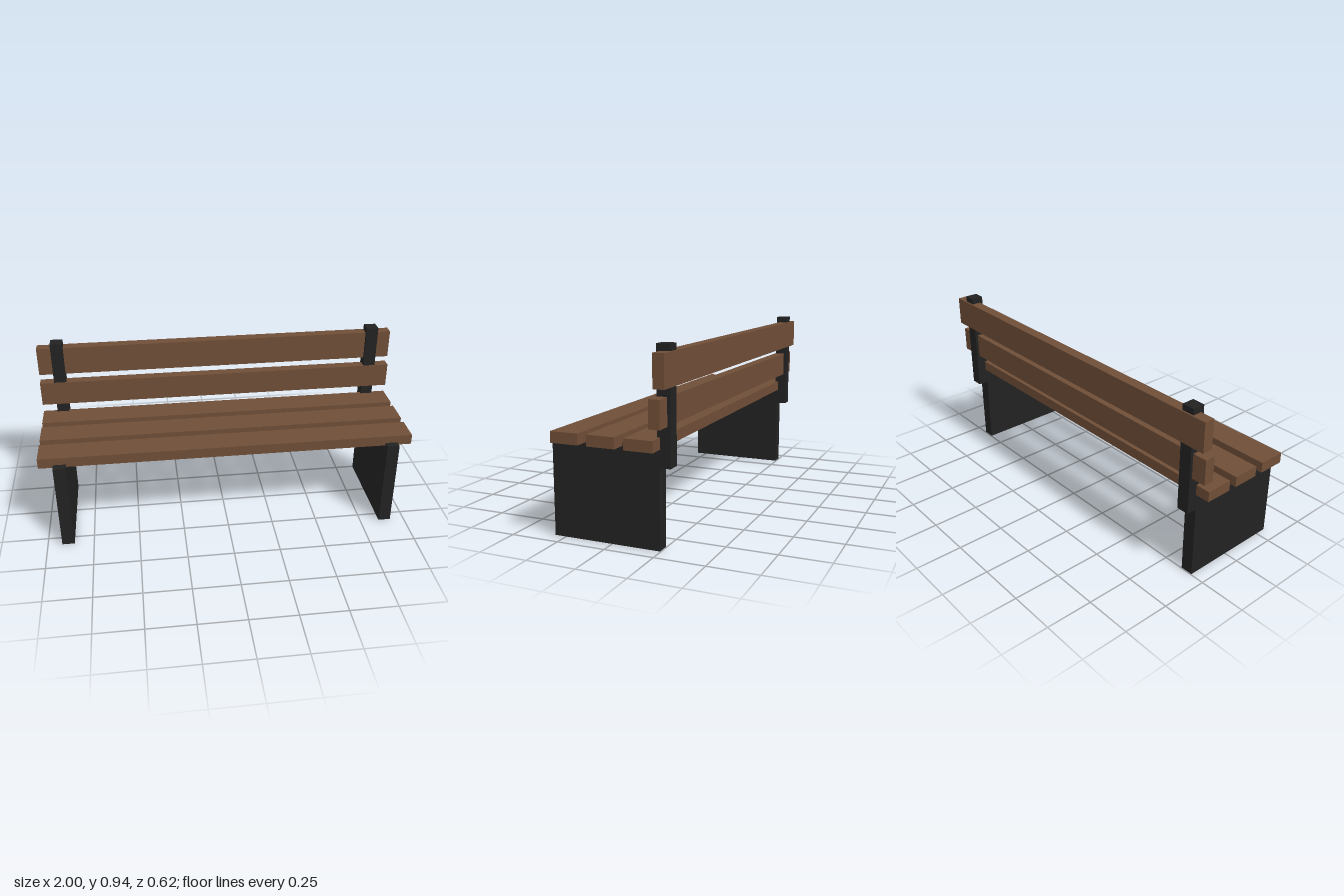
import * as THREE from 'three';

export function createModel() {
  const bench = new THREE.Group();
  bench.name = 'bench';

  const wood = new THREE.MeshStandardMaterial({ color: 0x6f4e37 });
  wood.name = 'brown wood';
  const metal = new THREE.MeshStandardMaterial({ color: 0x222222 });
  metal.name = 'black metal';

  // Box given by its centre x, width, and y and z ranges
  function addBox(name, material, x, width, [y0, y1], [z0, z1]) {
    const mesh = new THREE.Mesh(new THREE.BoxGeometry(width, y1 - y0, z1 - z0), material);
    mesh.position.set(x, (y0 + y1) / 2, (z0 + z1) / 2);
    mesh.name = name;
    bench.add(mesh);
  }

  // Side panels and the posts that carry the backrest
  for (const [side, s] of [['left', 1], ['right', -1]]) {
    addBox(`${side}LegPanel`, metal, s * 0.889, 0.0667, [0, 0.49], [-0.246, 0.309]);
    addBox(`${side}BackPost`, metal, s * 0.889, 0.0667, [0.39, 0.945], [-0.301, -0.235]);
  }

  // Seat slats, front to back
  [0.198, 0.009, -0.179].forEach((z, i) => {
    addBox(`seatSlat${i + 1}`, wood, 0, 2, [0.475, 0.53], [z - 0.072, z + 0.072]);
  });

  // Backrest slats; the upper one is set further back and is taller
  addBox('lowerBackSlat', wood, 0, 2, [0.58, 0.713], [-0.286, -0.231]);
  addBox('upperBackSlat', wood, 0, 2, [0.757, 0.913], [-0.309, -0.253]);

  return bench;
}
